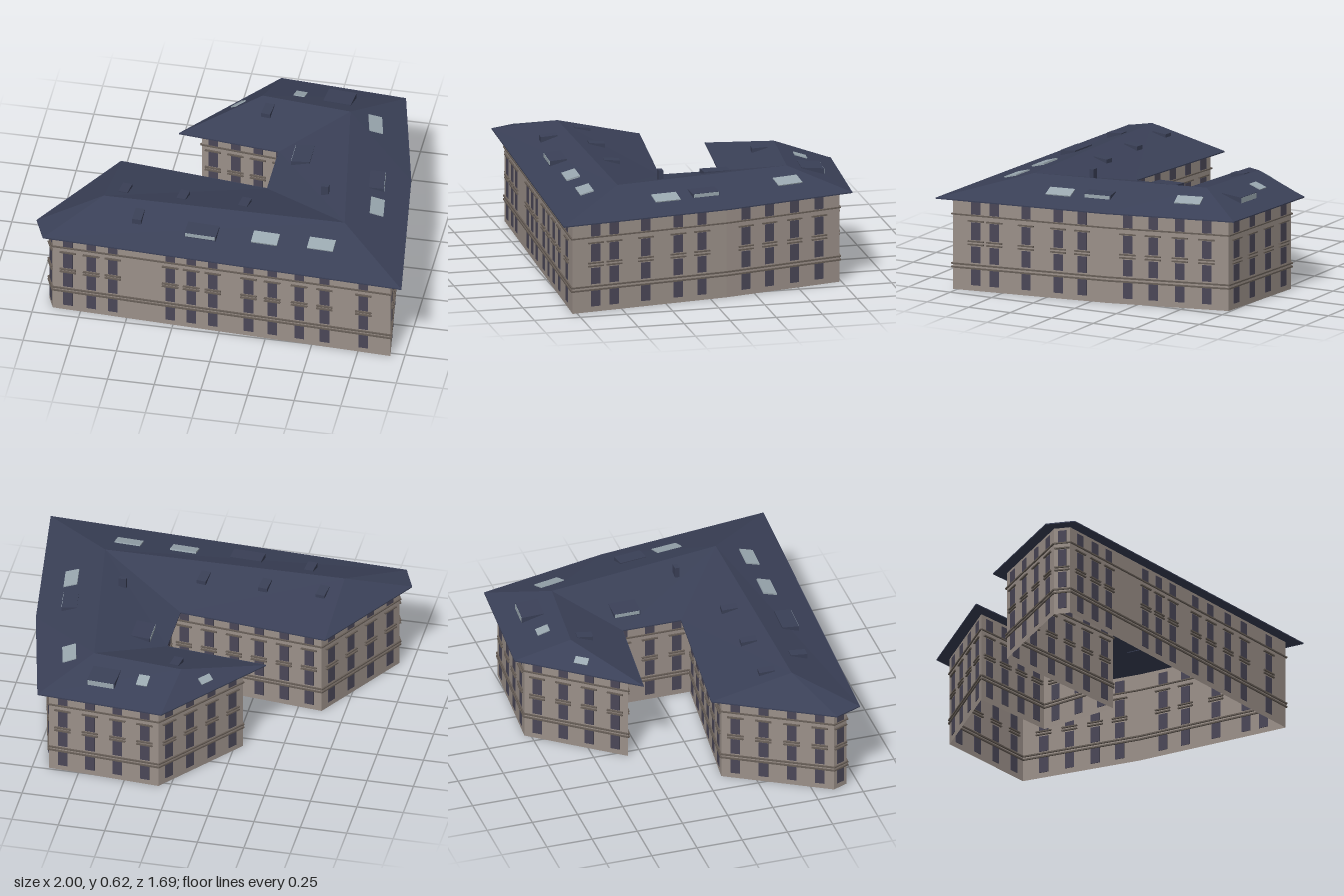
import * as THREE from 'three';
import { mergeGeometries } from 'three/addons/utils/BufferGeometryUtils.js';

// Eave corners [x, z], running along the front, up the right side and round the courtyard
const EAVE = [[-1, 0.605], [-0.94, 0.748], [0.995, 0.838], [0.87, -0.1], [0.71, -0.795],
  [0.035, -0.845], [-0.405, -0.275], [0.14, -0.215], [0.14, 0.11], [-0.66, 0.02]];
const RIDGE = [[-0.67, 0.46], [0.62, 0.455], [0.47, -0.5], [-0.01, -0.55]];
// Ridge points above each eave edge
const ABOVE = [[0], [1, 0], [1], [2, 1], [3, 2], [3], [2, 3], [1, 2], [0, 1], [0]];
// Window columns along each wall, as fractions of its length
const even = n => Array.from({ length: n }, (_, i) => (i + 0.5) / n);
const COLUMNS = [[0.5],
  [0.045, 0.114, 0.178, 0.348, 0.41, 0.474, 0.58, 0.65, 0.73, 0.805, 0.92],
  [0.15, 0.27, 0.475, 0.685, 0.84], [0.17, 0.38, 0.6, 0.82],
  even(4), even(4), even(4), even(3), even(6), even(4)];
const FLOORS = [[0.03, 0.116], [0.152, 0.24], [0.275, 0.37], [0.413, 0.48]];
const EAVE_Y = 0.5, RISE = 0.1, OVERHANG = 0.06, N = EAVE.length;

const material = (color, side = THREE.FrontSide) =>
  new THREE.MeshStandardMaterial({ color, side, flatShading: true });
const MAT = {
  wall: material(0x9b9089, THREE.DoubleSide),
  trim: material(0x675e57),
  window: material(0x4a4757),
  roof: material(0x3a4057, THREE.DoubleSide),
  glass: material(0x9aa8b0),
};

// Edge frame: start, length, direction t, outward normal n, rotation that turns +z to n
function edge(points, i) {
  const a = points[i], b = points[(i + 1) % N];
  const length = Math.hypot(b[0] - a[0], b[1] - a[1]);
  const t = [(b[0] - a[0]) / length, (b[1] - a[1]) / length];
  const n = [-t[1], t[0]];
  return { a, b, t, n, length, angle: Math.atan2(n[0], n[1]) };
}

// Wall corners: eave outline moved inward with mitred corners
const WALL = EAVE.map((p, i) => {
  const m = edge(EAVE, (i + N - 1) % N).n, n = edge(EAVE, i).n;
  const k = OVERHANG / (1 + m[0] * n[0] + m[1] * n[1]);
  return [p[0] - (m[0] + n[0]) * k, p[1] - (m[1] + n[1]) * k];
});

// Flat polygons, each a loop of [x, y, z], cut into fans
function polygons(loops) {
  const pos = [];
  for (const loop of loops)
    for (let i = 1; i < loop.length - 1; i++) pos.push(...loop[0], ...loop[i], ...loop[i + 1]);
  const g = new THREE.BufferGeometry();
  g.setAttribute('position', new THREE.Float32BufferAttribute(pos, 3));
  g.computeVertexNormals();
  return g;
}

// Box lying against a wall, centred at fraction f of its length
function wallBox(e, f, w, y0, y1, depth) {
  const s = e.length * f;
  return new THREE.BoxGeometry(w, y1 - y0, depth).rotateY(e.angle)
    .translate(e.a[0] + e.t[0] * s, (y0 + y1) / 2, e.a[1] + e.t[1] * s);
}

// Height, slope and heading of the roof face over eave edge i
function roofAt(i, x, z) {
  const e = edge(EAVE, i);
  const d1 = (e.a[0] - x) * e.n[0] + (e.a[1] - z) * e.n[1];
  const ids = ABOVE[i].length > 1 ? ABOVE[i] : { 2: [2, 1] }[i] || ABOVE[i];
  const p = RIDGE[ids[0]], q = RIDGE[ids[1] ?? ids[0]];
  // Ridge line distance measured along the inward normal
  const along = v => (v[0] - x) * e.t[0] + (v[1] - z) * e.t[1];
  const inward = v => -(v[0] - x) * e.n[0] - (v[1] - z) * e.n[1];
  const u = ids.length > 1 ? -along(p) / (along(q) - along(p)) : 0;
  const run = d1 + inward(p) + (inward(q) - inward(p)) * u;
  return { y: EAVE_Y + RISE * d1 / run, slope: RISE / run, angle: e.angle };
}

function onRoof(i, x, z, name) {
  const r = roofAt(i, x, z), g = new THREE.Group();
  g.name = name;
  g.position.set(x, r.y, z);
  g.rotation.y = r.angle;
  return { g, slope: r.slope };
}

function skylight(i, x, z, w, l) {
  const { g, slope } = onRoof(i, x, z, 'skylight');
  const pane = new THREE.Mesh(new THREE.BoxGeometry(w, 0.012, l), MAT.glass);
  pane.rotation.x = Math.atan(slope);
  g.add(pane);
  return g;
}

// Shed dormer: wedge growing out of the slope, optionally with a glazed front
function dormer(i, x, z, w, l, glazed) {
  const { g, slope } = onRoof(i, x, z, 'dormer');
  const h = l / 2, low = -slope * h, top = slope * h + 0.004 - 0.08 * l;
  const side = new THREE.Shape([[-h, -low - 0.004], [h, low - 0.004], [h, top], [-h, -low + 0.004]]
    .map(p => new THREE.Vector2(...p)));
  const body = new THREE.ExtrudeGeometry(side, { depth: w, bevelEnabled: false })
    .translate(0, 0, -w / 2).rotateY(-Math.PI / 2);
  g.add(new THREE.Mesh(body, MAT.roof));
  if (glazed) {
    const pane = new THREE.Mesh(new THREE.BoxGeometry(w * 0.94, (top - low) * 0.85, 0.004), MAT.glass);
    pane.position.set(0, (top + low) / 2, h);
    g.add(pane);
  }
  return g;
}

export function createModel() {
  const model = new THREE.Group();
  const add = (name, geometry, mat) => {
    const mesh = new THREE.Mesh(geometry, mat);
    mesh.name = name;
    model.add(mesh);
  };
  const at = (p, y) => [p[0], y, p[1]];

  // Shells: walls, roof faces and eave soffit
  const walls = [], roof = [], soffit = [];
  const windows = [], trim = [], eaveEdge = [];
  for (let i = 0; i < N; i++) {
    const j = (i + 1) % N, e = edge(WALL, i), o = edge(EAVE, i);
    walls.push([at(WALL[i], 0), at(WALL[j], 0), at(WALL[j], EAVE_Y), at(WALL[i], EAVE_Y)]);
    roof.push([at(EAVE[i], EAVE_Y), at(EAVE[j], EAVE_Y),
      ...ABOVE[i].map(k => at(RIDGE[k], EAVE_Y + RISE))]);
    soffit.push([at(EAVE[i], EAVE_Y - 0.004), at(WALL[i], EAVE_Y - 0.004),
      at(WALL[j], EAVE_Y - 0.004), at(EAVE[j], EAVE_Y - 0.004)]);
    eaveEdge.push(wallBox(o, 0.5, o.length, EAVE_Y - 0.005, EAVE_Y + 0.001, 0.004));

    // String courses round the building
    for (const [y0, y1] of [[0.117, 0.125], [0.136, 0.144], [0.404, 0.411]])
      trim.push(wallBox(e, 0.5, e.length + 0.01, y0, y1, 0.016));

    // Window columns with sills and lintels on the middle floors
    for (const f of COLUMNS[i]) {
      const w = i === 0 ? 0.045 : 0.052;
      for (const [y0, y1] of FLOORS) windows.push(wallBox(e, f, w, y0, y1, 0.006));
      for (const y of [0.247, 0.264, 0.374])
        trim.push(wallBox(e, f, w + 0.036, y, y + 0.007, 0.02));
    }
  }
  add('walls', polygons(walls), MAT.wall);
  add('roof', polygons(roof), MAT.roof);
  add('soffit', polygons(soffit), MAT.roof);
  add('eaveEdge', mergeGeometries(eaveEdge), MAT.roof);
  add('windows', mergeGeometries(windows), MAT.window);
  add('stoneTrim', mergeGeometries(trim), MAT.trim);

  // Skylights: roof face, x, z, width, length
  for (const s of [[1, 0.225, 0.61, 0.14, 0.075], [1, 0.525, 0.61, 0.14, 0.075],
    [2, 0.75, 0.225, 0.14, 0.075], [3, 0.61, -0.47, 0.14, 0.075],
    [4, 0.175, -0.645, 0.06, 0.07], [5, -0.135, -0.53, 0.075, 0.04]]) model.add(skylight(...s));

  // Dormers: roof face, x, z, width, length, glazed front
  for (const d of [[1, -0.465, 0.56, 0.05, 0.09], [1, -0.115, 0.61, 0.17, 0.09, true],
    [2, 0.71, 0.01, 0.15, 0.08, true], [4, 0.385, -0.65, 0.15, 0.12, true],
    [6, 0.035, -0.46, 0.05, 0.085], [7, 0.28, -0.16, 0.145, 0.1, true],
    [8, -0.575, 0.35, 0.05, 0.085], [8, -0.265, 0.35, 0.05, 0.085],
    [8, 0.065, 0.35, 0.05, 0.085]]) model.add(dormer(...d));

  // Chimney
  add('chimney', new THREE.BoxGeometry(0.04, 0.06, 0.024).translate(0.465, 0.593, 0.185), MAT.roof);
  return model;
}
